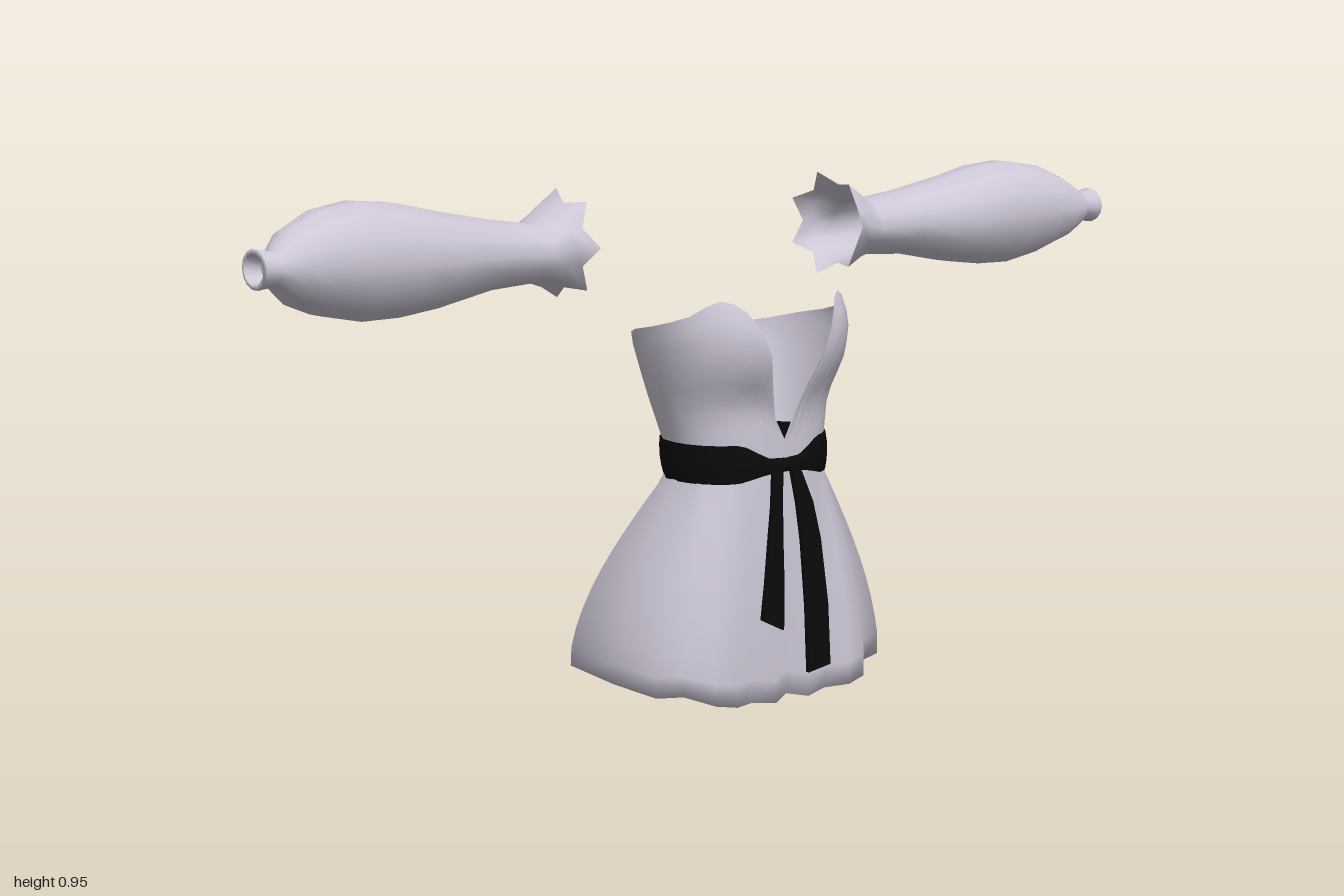
import * as THREE from 'three';

const fabric = new THREE.MeshStandardMaterial({ name: 'pale lavender fabric', color: 0xcdc7d6, side: THREE.DoubleSide });
const black = new THREE.MeshStandardMaterial({ name: 'black ribbon', color: 0x0a0a0a, side: THREE.DoubleSide });

// Linear lookup in a table of [key, value] pairs
function lookup(table, k) {
  if (k <= table[0][0]) return table[0][1];
  for (let i = 1; i < table.length; i++) {
    const [k0, v0] = table[i - 1], [k1, v1] = table[i];
    if (k <= k1) return v0 + (v1 - v0) * (k - k0) / (k1 - k0);
  }
  return table[table.length - 1][1];
}

// Skin closed rings of [x, y, z] points
function loft(rings) {
  const n = rings[0].length, index = [];
  for (let i = 0; i < rings.length - 1; i++) {
    for (let j = 0; j < n; j++) {
      const k = (j + 1) % n, a = i * n + j, b = i * n + k;
      index.push(a, b, b + n, a, b + n, a + n);
    }
  }
  const g = new THREE.BufferGeometry();
  g.setAttribute('position', new THREE.Float32BufferAttribute(rings.flat(2), 3));
  g.setIndex(index);
  g.computeVertexNormals();
  return g;
}

function part(name, geometry, material) {
  const m = new THREE.Mesh(geometry, material);
  m.name = name;
  return m;
}

// Body angles in degrees, 0 = front centre, closer together at the neckline
const half = [0, 5, 10, 15, 20, 27, 34, 42, 52, 64, 77, 90, 108, 128, 148, 165, 180];
const angles = [...half, ...half.slice(1, -1).reverse().map(a => -a)];

// Torso outline by height
const width = [[0.4, 0.157], [0.45, 0.158], [0.49, 0.163], [0.55, 0.177], [0.62, 0.195], [0.69, 0.207], [0.75, 0.2]];
const front = [[0.4, 0.182], [0.45, 0.178], [0.55, 0.177], [0.58, 0.19], [0.62, 0.215], [0.67, 0.226], [0.72, 0.218], [0.75, 0.2]];
const back = [[0.4, -0.048], [0.48, -0.055], [0.66, -0.12]];
const neckline = [[0, 0.49], [5, 0.53], [10, 0.59], [15, 0.65], [20, 0.695], [27, 0.73], [34, 0.747],
  [42, 0.752], [52, 0.742], [64, 0.725], [90, 0.702], [128, 0.678], [180, 0.66]];
const beltTop = [[0, 0.455], [10, 0.457], [30, 0.485], [180, 0.487]];
const beltBottom = [[0, 0.43], [12, 0.428], [35, 0.415], [180, 0.412]];

function torso(deg, y, grow = 0) {
  const a = deg * Math.PI / 180, s = Math.sin(a), c = Math.cos(a);
  const zf = lookup(front, y), zb = lookup(back, y);
  const x = (lookup(width, y) + grow) * Math.sign(s) * Math.abs(s) ** 0.85;
  const z = (zf + zb) / 2 + ((zf - zb) / 2 + grow) * Math.sign(c) * Math.abs(c) ** 0.85;
  return [x, y, z];
}

// Rows between two height tables, optionally swollen outward
function band(low, high, rows, swell) {
  const rings = [];
  for (let i = 0; i <= rows; i++) {
    const t = i / rows;
    rings.push(angles.map(a => {
      const y0 = lookup(low, Math.abs(a)), y1 = lookup(high, Math.abs(a));
      return torso(a, y0 + (y1 - y0) * t, swell(t));
    }));
  }
  return loft(rings);
}

// Skirt hem, one side from front to back: [x, z, y]
const hemHalf = [[0, 0.185, 0.012], [0.04, 0.203, 0.004], [0.09, 0.192, 0.01], [0.14, 0.208, 0.012], [0.185, 0.2, 0.02],
  [0.225, 0.155, 0.035], [0.277, 0.14, 0.038], [0.288, 0.03, 0.045], [0.293, -0.095, 0.058], [0.222, -0.12, 0.055],
  [0.19, -0.18, 0.04], [0.13, -0.222, 0.032], [0.06, -0.222, 0.03], [0, -0.205, 0.03]];

function skirt() {
  const hem = [...hemHalf, ...hemHalf.slice(1, -1).reverse().map(([x, z, y]) => [-x, z, y])];
  const rings = [];
  // Turned-in lip under the hem
  rings.push(hem.map(([x, z, y]) => [x * 0.86, y + 0.006, z * 0.86]));
  for (let i = 10; i >= 0; i--) {
    const t = i / 10, f = Math.sin(t * 1.45) / Math.sin(1.45);
    rings.push(hem.map(([x, z, y]) => {
      const deg = Math.atan2(x, z - 0.04) * 180 / Math.PI;
      const w = torso(deg, lookup(beltBottom, Math.abs(deg)) + 0.006);
      const tuck = i === 10 ? 0.985 : 1;
      return [(w[0] + (x - w[0]) * f) * tuck, w[1] + (y - w[1]) * t, w[2] + (z - w[2]) * f];
    }));
  }
  return loft(rings);
}

// Hanging ribbon tail, leaning forward as it falls
function tail(points) {
  const g = new THREE.ExtrudeGeometry(new THREE.Shape(points.map(p => new THREE.Vector2(...p))),
    { depth: 0.008, bevelEnabled: false });
  const p = g.attributes.position, lean = [[0.05, 0.215], [0.2, 0.208], [0.32, 0.196], [0.44, 0.18]];
  for (let i = 0; i < p.count; i++) p.setZ(i, p.getZ(i) + lookup(lean, p.getY(i)));
  g.computeVertexNormals();
  return g;
}

// Sleeve sections: [x, yLow, yHigh, zBack, zFront, ruffle]
const sections = [[0.325, 0.76, 0.94, -0.16, 0.03, 0.13], [0.36, 0.775, 0.92, -0.15, 0.025, 0.06], [0.4, 0.785, 0.893, -0.138, 0.015, 0],
  [0.5, 0.78, 0.907, -0.136, 0.028, 0], [0.62, 0.757, 0.93, -0.145, 0.046, 0], [0.7, 0.747, 0.948, -0.15, 0.052, 0],
  [0.78, 0.746, 0.955, -0.148, 0.054, 0], [0.86, 0.762, 0.943, -0.132, 0.05, 0], [0.92, 0.785, 0.917, -0.1, 0.042, 0],
  [0.953, 0.81, 0.892, -0.062, 0.034, 0], [0.965, 0.823, 0.882, -0.042, 0.03, 0], [0.998, 0.819, 0.889, -0.045, 0.035, 0],
  [1.0, 0.828, 0.88, -0.036, 0.026, 0], [0.97, 0.832, 0.876, -0.032, 0.022, 0]];

function sleeve(side) {
  const n = 14;
  return loft(sections.map(([x, y0, y1, z0, z1, ruffle]) => Array.from({ length: n }, (_, j) => {
    const a = -side * j / n * Math.PI * 2, wave = j % 2 ? -1 : 1, r = 1 + ruffle * wave;
    return [side * (x - ruffle * 0.06 * wave), (y0 + y1) / 2 + (y1 - y0) / 2 * r * Math.sin(a),
      (z0 + z1) / 2 + (z1 - z0) / 2 * r * Math.cos(a)];
  })));
}

export function createModel() {
  const model = new THREE.Group();
  model.name = 'dress with sleeves';

  model.add(part('bodice', band(beltTop, neckline, 9, () => 0), fabric));
  model.add(part('skirt', skirt(), fabric));

  // Waist sash with rolled edges and two tails
  model.add(part('sash', band(beltBottom, beltTop, 4, t => 0.003 + 0.005 * Math.sin(t * Math.PI)), black));
  model.add(part('rightRibbonTail', tail([[-0.035, 0.435], [-0.045, 0.37], [-0.06, 0.3], [-0.073, 0.23], [-0.085, 0.168],
    [-0.035, 0.143], [-0.03, 0.22], [-0.026, 0.3], [-0.02, 0.37], [-0.012, 0.435]]), black));
  model.add(part('leftRibbonTail', tail([[0.008, 0.435], [0.016, 0.37], [0.02, 0.3], [0.022, 0.18], [0.023, 0.055],
    [0.077, 0.063], [0.075, 0.18], [0.066, 0.3], [0.054, 0.37], [0.03, 0.435]]), black));

  for (const side of [1, -1]) model.add(part(side > 0 ? 'leftSleeve' : 'rightSleeve', sleeve(side), fabric));
  return model;
}
